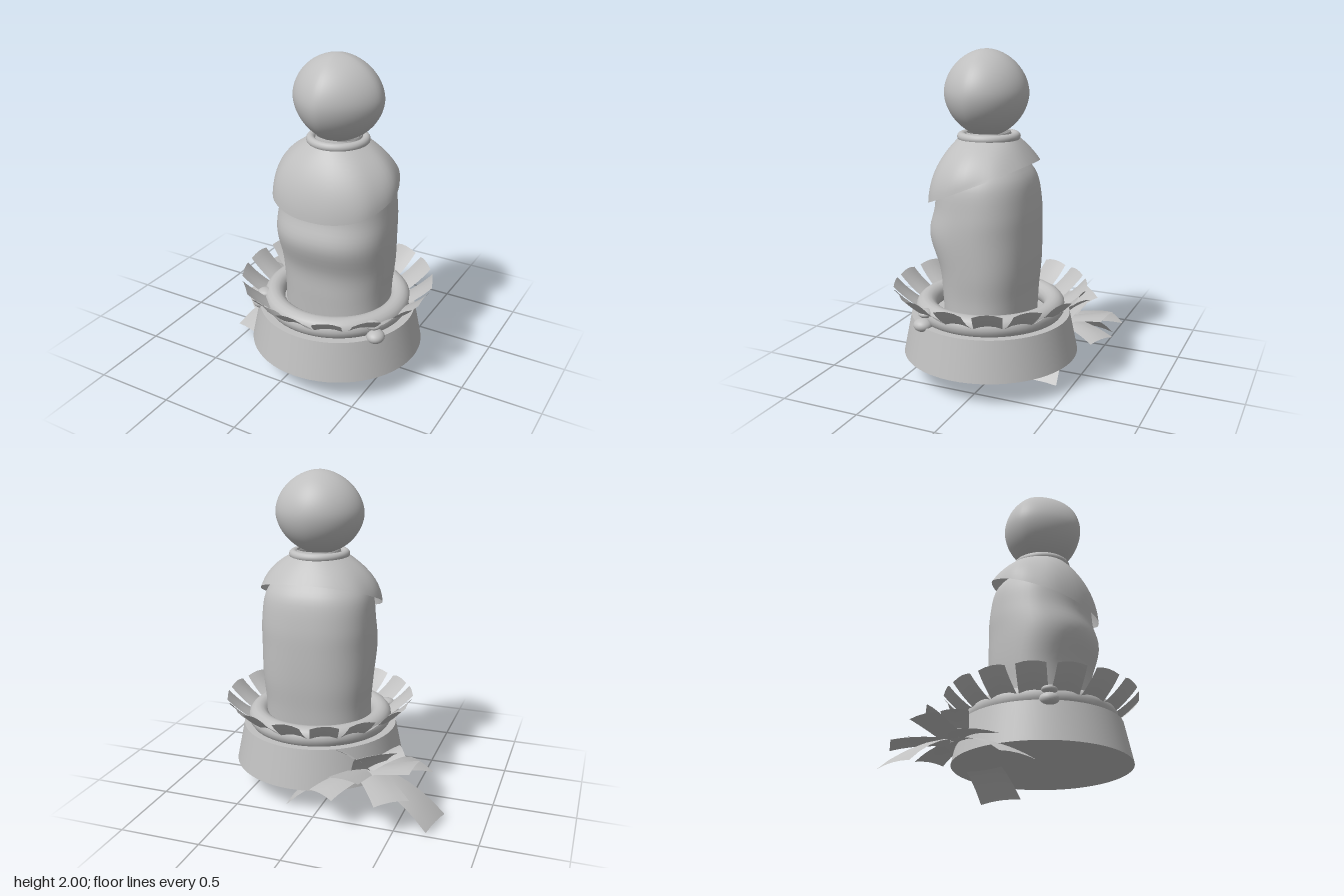
import * as THREE from 'three';
import { mergeVertices } from 'three/addons/utils/BufferGeometryUtils.js';

const CX = 0.15, CZ = 0.05; // axis of the statue
const lerp = THREE.MathUtils.lerp;
const stone = new THREE.MeshStandardMaterial({ color: 0xbfbfbf, side: THREE.DoubleSide });
stone.name = 'stone';

function add(parent, name, geometry, x = 0, y = 0, z = 0) {
  const mesh = new THREE.Mesh(geometry, stone);
  mesh.name = name;
  mesh.position.set(x, y, z);
  parent.add(mesh);
  return mesh;
}

// Bends a grid by a rule (u, v in 0..1) and welds the seam
function surface(cols, rows, rule) {
  const g = new THREE.PlaneGeometry(1, 1, cols, rows);
  const p = g.attributes.position;
  for (let i = 0; i < p.count; i++) p.setXYZ(i, ...rule(p.getX(i) + 0.5, p.getY(i) + 0.5));
  g.deleteAttribute('uv');
  g.deleteAttribute('normal');
  const welded = mergeVertices(g, 1e-5);
  welded.computeVertexNormals();
  return welded;
}

const power = (n, e) => Math.sign(n) * Math.abs(n) ** e;

// Curved strip from a through c to b, with its middle arched upwards
function strip(a, c, b, w0, w1, arch) {
  const curve = new THREE.QuadraticBezierCurve3(
    new THREE.Vector3(...a), new THREE.Vector3(...c), new THREE.Vector3(...b));
  const side = new THREE.Vector3(b[2] - a[2], 0, a[0] - b[0]).normalize();
  return surface(4, 6, (u, v) => {
    const s = (u - 0.5) * 2;
    const p = curve.getPoint(v).addScaledVector(side, -s * lerp(w0, w1, v) / 2);
    return [p.x, p.y - arch * s * s, p.z];
  });
}

// Robe sections: height, half width, front z, back z
const ROBE = [
  [0.40, 0.335, 0.30, -0.22], [0.55, 0.335, 0.31, -0.23], [0.72, 0.35, 0.325, -0.245],
  [0.92, 0.36, 0.39, -0.25], [1.08, 0.355, 0.355, -0.245], [1.25, 0.33, 0.335, -0.215],
  [1.36, 0.24, 0.26, -0.14], [1.44, 0.16, 0.2, -0.09], [1.52, 0.13, 0.18, -0.07],
];

function robeGeometry() {
  const curve = ROBE[0].map((_, k) => new THREE.SplineCurve(
    ROBE.map((r, i) => new THREE.Vector2(i, r[k]))));
  return surface(48, 40, (u, v) => {
    const [y, w, front, back] = curve.map(c => c.getPoint(v).y);
    const a = u * Math.PI * 2;
    const zMid = (front + back) / 2;
    return [CX + 0.005 + w * power(Math.sin(a), 0.85), y,
      zMid + (front - back) / 2 * power(Math.cos(a), 0.85)];
  });
}

// Bib-like cape: short behind, long in front, open below
function capeGeometry() {
  return surface(56, 14, (u, v) => {
    const a = u * Math.PI * 2, s = Math.sin(a), c = Math.cos(a), t = 1 - v;
    const neck = [CX + 0.17 * s, 1.49, 0.057 + 0.17 * c];
    const fold = 1 + 0.012 * Math.cos(a * 8);
    const hem = [CX + 0.385 * fold * power(s, 0.9), 0, 0.085 + 0.313 * power(c, 0.9)];
    hem[1] = 1.09 + (0.4 - hem[2]) * 0.413;
    const k = lerp(0.5, 0.95, Math.min(1, c + 1));
    const mid = [lerp(neck[0], hem[0], k), lerp(hem[1], neck[1], 0.6), lerp(neck[2], hem[2], k)];
    return neck.map((n, i) => (1 - t) ** 2 * n + 2 * t * (1 - t) * mid[i] + t * t * hem[i]);
  });
}

// Head: a ball drawn out to a nose ridge and to both sides
function headGeometry() {
  return surface(64, 40, (u, v) => {
    const a = u * Math.PI * 2, e = (v - 0.5) * Math.PI;
    const x = Math.sin(a) * Math.cos(e), y = Math.sin(e), z = Math.cos(a) * Math.cos(e);
    const p = z > 0 ? 1.55 : 1.85;
    const flat = (Math.abs(x / 0.28) ** p + Math.abs(z / (z > 0 ? 0.265 : 0.25)) ** p) ** (1 / p);
    const r = (flat ** 1.85 + Math.abs(y / 0.255) ** 1.85) ** (-1 / 1.85);
    return [x * r, y * r, z * r];
  });
}

// Leaf tips: x, y, z, width
const LEAVES = [
  [-0.72, 0.03, -0.37, 0.26], [0.21, 0.01, -0.27, 0.28], [-0.41, 0.075, 0.21, 0.27],
  [-0.54, 0.2, 0.03, 0.25], [-0.505, 0.22, -0.57, 0.22], [-0.085, 0.22, -0.6, 0.19],
  [-0.22, 0.33, -0.595, 0.2], [-0.57, 0.33, -0.295, 0.21], [-0.38, 0.43, -0.425, 0.28],
  [-0.46, 0.37, -0.17, 0.16], [-0.17, 0.42, -0.44, 0.16],
];

export function createModel() {
  const model = new THREE.Group();
  model.name = 'statue';

  // Pedestal
  add(model, 'pedestal', new THREE.CylinderGeometry(0.49, 0.54, 0.245, 64), CX, 0.2775, CZ);
  add(model, 'cushionRing', new THREE.TorusGeometry(0.395, 0.065, 16, 64).rotateX(Math.PI / 2),
    CX, 0.445, CZ);

  // Ring of petals
  const petals = new THREE.Group();
  petals.name = 'petals';
  petals.position.set(CX, 0, CZ);
  model.add(petals);
  const petal = strip([0, 0.445, 0.41], [0, 0.505, 0.515], [0, 0.592, 0.59], 0.165, 0.172, 0.015);
  for (let i = 0; i < 16; i++) add(petals, 'petal', petal).rotation.y = i * Math.PI / 8;

  // Pairs of pebbles on the rim
  const ball = new THREE.SphereGeometry(1, 24, 16);
  for (const s of [-1, 1]) {
    add(model, 'lowerPebble', ball, CX + s * 0.4, 0.405, 0.31).scale.set(0.055, 0.04, 0.058);
    add(model, 'upperPebble', ball, CX + s * 0.375, 0.472, 0.3).scale.set(0.052, 0.026, 0.046);
  }

  // Figure
  add(model, 'robe', robeGeometry());
  add(model, 'cape', capeGeometry());
  add(model, 'collar', new THREE.TorusGeometry(0.162, 0.026, 16, 48).rotateX(Math.PI / 2),
    CX, 1.492, 0.057);
  add(model, 'head', headGeometry(), CX, 1.745, 0.07);

  // Drooping leaves beside the pedestal
  const leaves = new THREE.Group();
  leaves.name = 'leaves';
  model.add(leaves);
  const root = [-0.26, 0.25, -0.27];
  for (const [x, y, z, w] of LEAVES) {
    const top = y < 0.15 ? 0.235 : Math.max(0.27, y - 0.03);
    const bend = [lerp(root[0], x, 0.55), top, lerp(root[2], z, 0.55)];
    add(leaves, 'leaf', strip(root, bend, [x, y, z], w * 0.7, w, 0.012));
  }
  return model;
}
